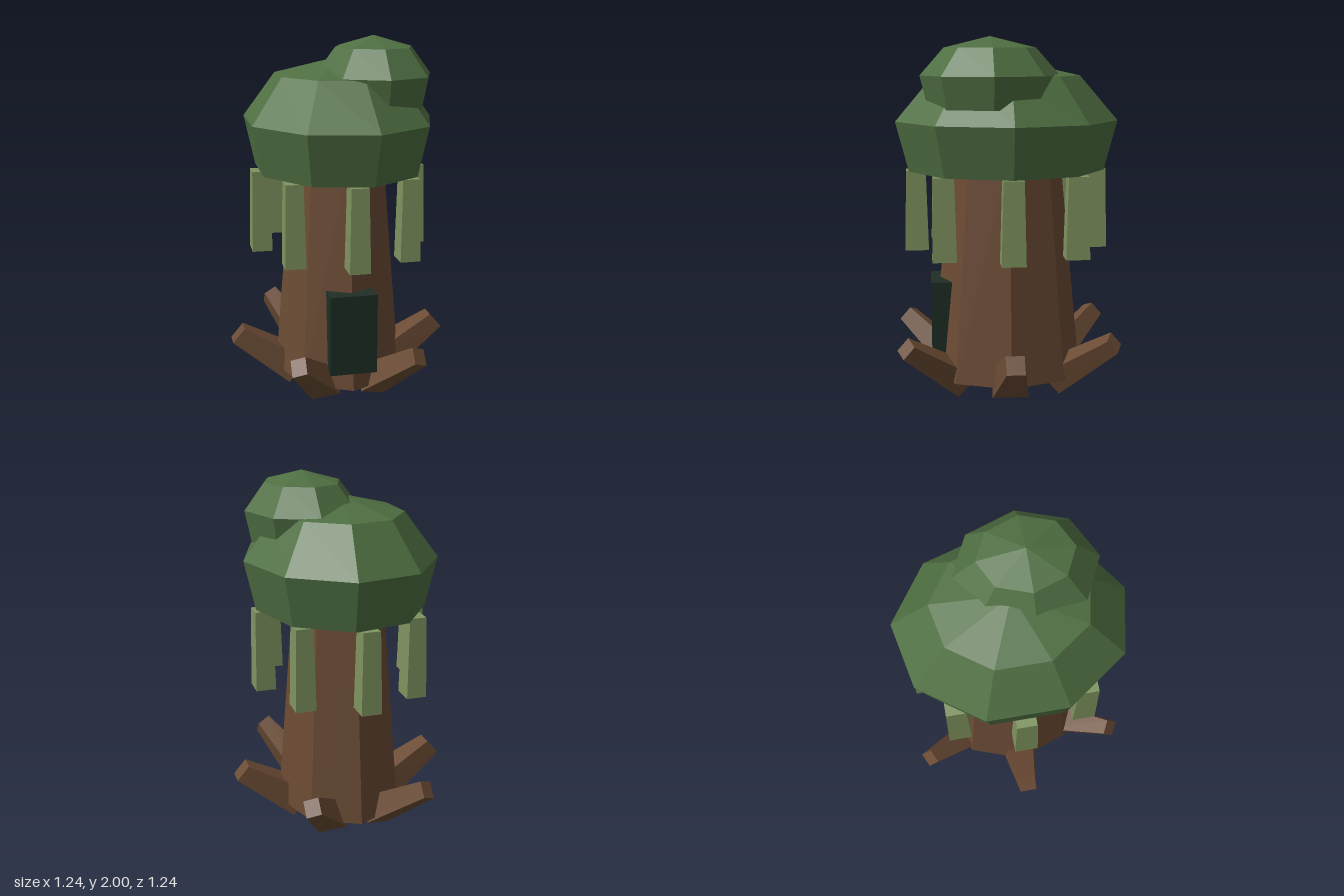
import * as THREE from 'three';
import { ConvexGeometry } from 'three/addons/geometries/ConvexGeometry.js';

const DEPTH = 1.17; // the whole tree is wider along z than along x

function material(name, color) {
  const m = new THREE.MeshStandardMaterial({ color, flatShading: true });
  m.name = name;
  return m;
}

export function createModel() {
  const tree = new THREE.Group();
  tree.name = 'swampTree';

  const bark = material('bark brown', 0x6b4b34);
  const leaf = material('leaf green', 0x4f6f42);
  const moss = material('moss green', 0x7f945f);
  const hollow = material('hollow dark green', 0x1f2e26);

  function add(name, geometry, mat, x = 0, y = 0, z = 0) {
    const mesh = new THREE.Mesh(geometry, mat);
    mesh.name = name;
    mesh.position.set(x, y, z);
    tree.add(mesh);
    return mesh;
  }

  // Tapered eight-sided trunk
  const trunk = new THREE.CylinderGeometry(0.258, 0.368, 1.3, 8);
  trunk.scale(1, 1, DEPTH);
  add('trunk', trunk, bark, 0, 0.75, 0);

  // Dark doorway block set into the front of the trunk
  add('doorway', new THREE.BoxGeometry(0.26, 0.45, 0.23), hollow, 0, 0.425, 0.315);

  // Faceted crowns turned from [radius, height] profiles
  function crown(name, profile, sides, x, z) {
    const points = profile.map(([r, y]) => new THREE.Vector2(r, y));
    const geometry = new THREE.LatheGeometry(points, sides, Math.PI / 2);
    geometry.scale(1, 1, DEPTH);
    add(name, geometry, leaf, x, 0, z);
  }
  crown('mainCrown', [[0, 1.27], [0.47, 1.27], [0.531, 1.545], [0.35, 1.79], [0, 1.88]], 9, 0, 0);
  crown('upperCrown', [[0, 1.625], [0.285, 1.625], [0.32, 1.795], [0.21, 1.94], [0, 2]], 8, 0.175, 0.1);

  // Ring of hanging moss, each strand slightly wider at the bottom
  const strand = new THREE.CylinderGeometry(0.066, 0.079, 0.45, 4);
  strand.rotateY(Math.PI / 4);
  strand.scale(1, 1, DEPTH);
  for (let i = 0; i < 8; i++) {
    const a = (i * Math.PI) / 4;
    add('hangingMoss', strand, moss, 0.44 * Math.cos(a), 1.045, 0.505 * Math.sin(a));
  }

  // Roots: blocks tapering outward and up, mirrored around the trunk
  function root(name, corners, sx, sz) {
    const points = corners.map(([x, y, z]) => new THREE.Vector3(x * sx, y, z * sz));
    add(name, new ConvexGeometry(points), bark);
  }
  const sideRoot = [];
  for (const s of [-1, 1]) {
    sideRoot.push([0.305, 0.028, 0.1 * s], [0.197, 0.16, 0.1 * s]);
    sideRoot.push([0.62, 0.278, 0.05 * s], [0.552, 0.358, 0.05 * s]);
  }
  const cornerRoot = [
    [0.206, 0, 0.286], [0.06, 0.055, 0.356], [0.206, 0.115, 0.186], [0.06, 0.17, 0.256],
    [0.29, 0.315, 0.62], [0.363, 0.285, 0.585], [0.363, 0.355, 0.525], [0.29, 0.385, 0.56],
  ];
  for (const sx of [-1, 1]) {
    root('sideRoot', sideRoot, sx, 1);
    for (const sz of [-1, 1]) root('cornerRoot', cornerRoot, sx, sz);
  }

  return tree;
}
